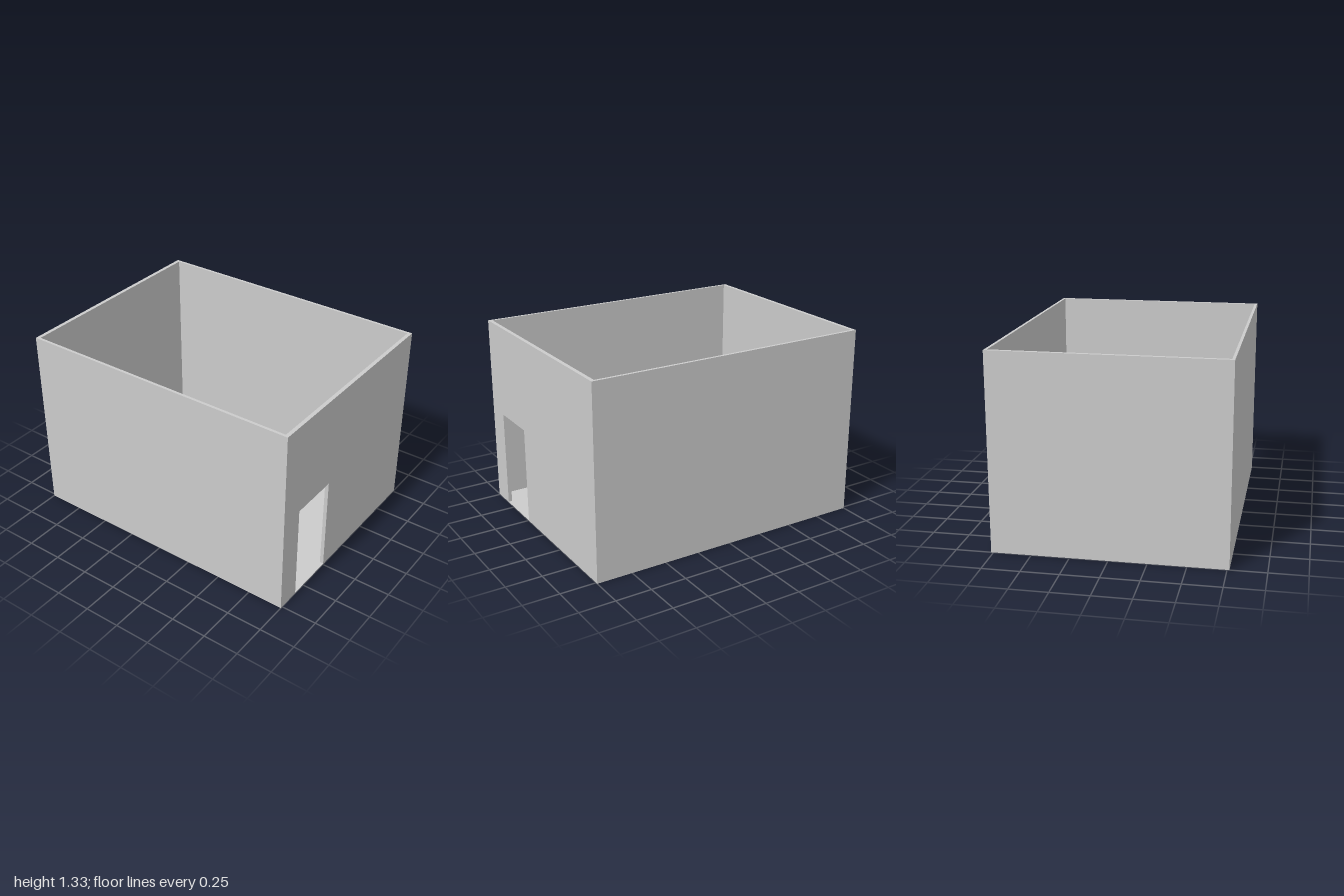
import * as THREE from 'three';

const W = 1.53, H = 1.325, D = 2;      // overall size
const TX = 0.019, TZ = 0.026;          // side and end wall thickness
const FLOOR = 0.004;                   // floor slab thickness
const DOOR = { left: -0.595, right: -0.245, top: 0.68 };

export function createModel() {
  const room = new THREE.Group();
  room.name = 'room';
  const material = new THREE.MeshStandardMaterial({ color: 0xcccccc, flatShading: true });

  const add = (name, geometry, x, y, z) => {
    const mesh = new THREE.Mesh(geometry, material);
    mesh.name = name;
    mesh.position.set(x, y, z);
    room.add(mesh);
  };

  // Thin floor slab
  add('floor', new THREE.BoxGeometry(W, FLOOR, D), 0, FLOOR / 2, 0);

  // Front wall with a doorway notched up from the floor
  const outline = new THREE.Shape([
    [-W / 2, FLOOR], [DOOR.left, FLOOR], [DOOR.left, DOOR.top],
    [DOOR.right, DOOR.top], [DOOR.right, FLOOR], [W / 2, FLOOR],
    [W / 2, H], [-W / 2, H],
  ].map(([x, y]) => new THREE.Vector2(x, y)));
  add('frontWall', new THREE.ExtrudeGeometry(outline, { depth: TZ, bevelEnabled: false }), 0, 0, D / 2 - TZ);

  // Solid back wall
  const wallH = H - FLOOR, wallY = FLOOR + wallH / 2;
  add('backWall', new THREE.BoxGeometry(W, wallH, TZ), 0, wallY, -D / 2 + TZ / 2);

  // Side walls fitted between front and back
  for (const [name, side] of [['leftWall', 1], ['rightWall', -1]]) {
    add(name, new THREE.BoxGeometry(TX, wallH, D - 2 * TZ), side * (W - TX) / 2, wallY, 0);
  }

  return room;
}
